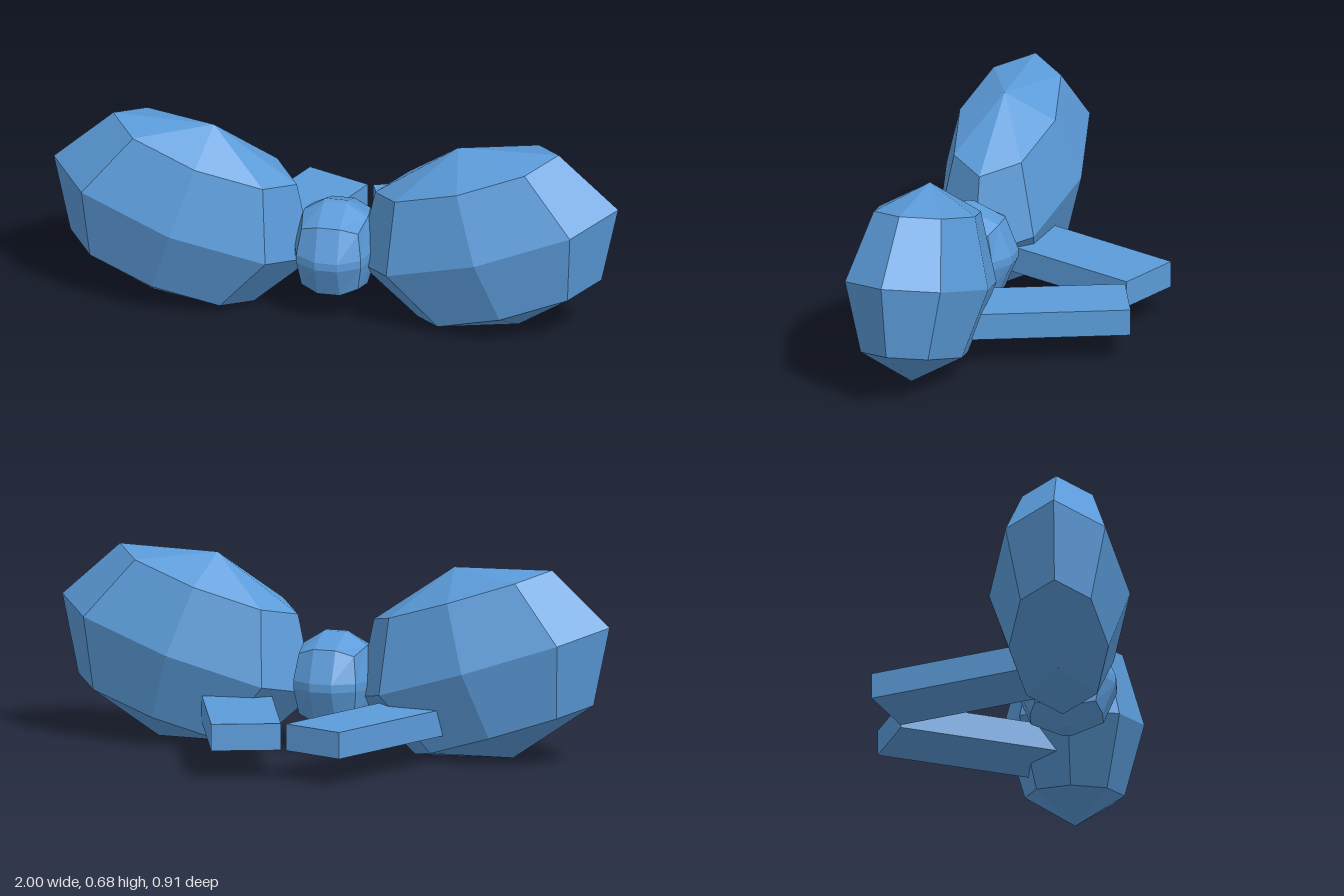
import * as THREE from 'three';
import { RoundedBoxGeometry } from 'three/addons/geometries/RoundedBoxGeometry.js';

export function createModel() {
  const bow = new THREE.Group();
  bow.name = 'bow';
  const blue = new THREE.MeshStandardMaterial({ color: 0x5b9bd9, flatShading: true });
  blue.name = 'ribbon blue';

  const add = (name, geometry, x, y, z) => {
    const mesh = new THREE.Mesh(geometry, blue);
    mesh.name = name;
    mesh.position.set(x, y, z);
    bow.add(mesh);
    return mesh;
  };

  // Central knot: a unit-radius rounded block squeezed to size
  const knot = new RoundedBoxGeometry(2.76, 2.18, 2.16, 1, 1);
  knot.scale(0.105, 0.16, 0.16);
  add('knot', knot, 0, 0.25, 0.212);

  for (const side of [1, -1]) {
    const label = side > 0 ? 'left' : 'right';

    // Puffy loop, tilted up towards its outer end
    const loop = new THREE.SphereGeometry(1, 8, 4);
    loop.scale(0.484, 0.348, 0.245);
    add(label + 'Loop', loop, side * 0.54, 0.345, 0.212).rotation.z = side * 0.314;

    // Flat ribbon tail running back from inside the loop
    const tail = new THREE.BoxGeometry(0.242, 0.094, 0.6);
    add(label + 'Tail', tail, side * 0.234, 0.154, -0.131).rotation.y = side * 0.384;
  }
  return bow;
}
